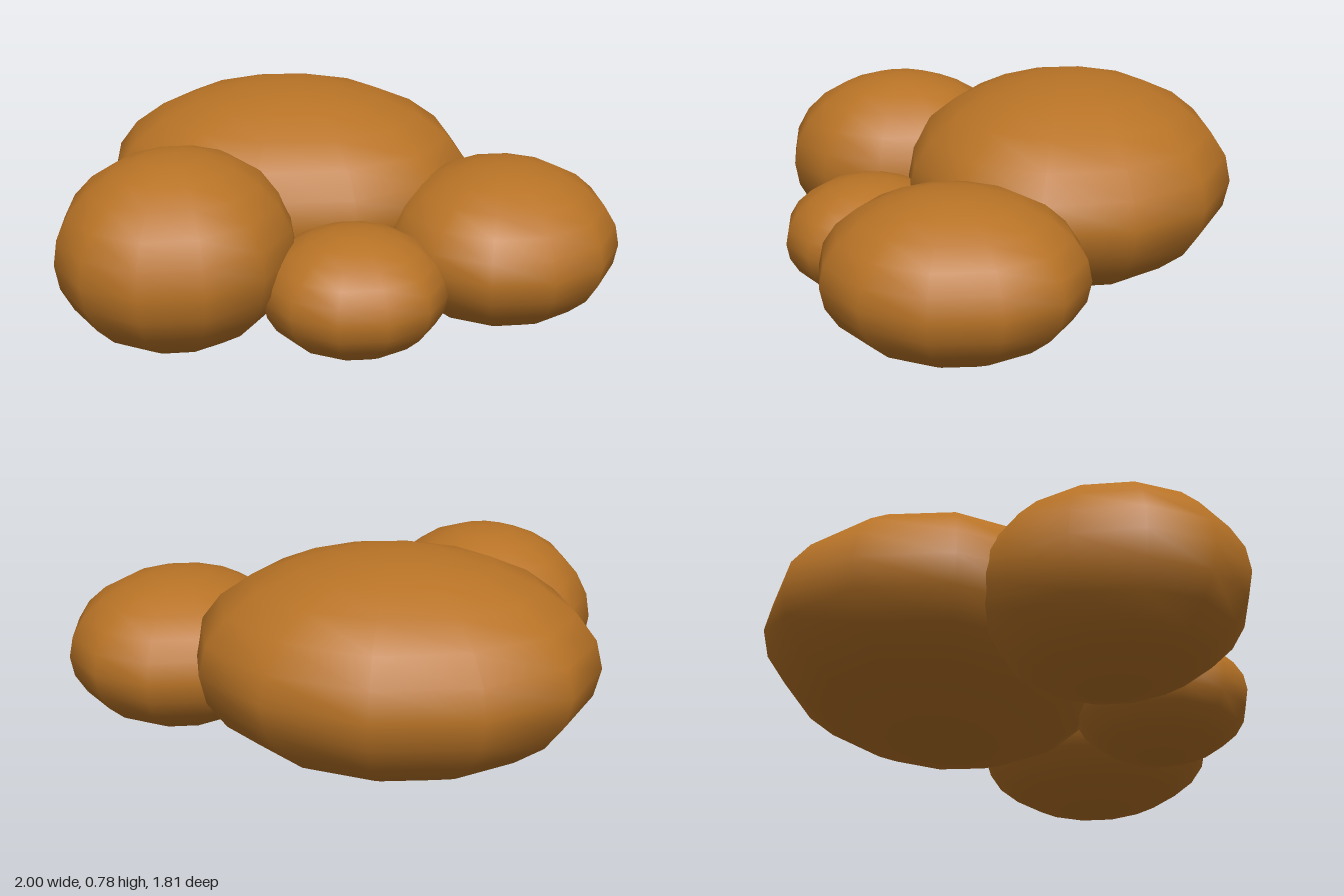
import * as THREE from 'three';

export function createModel() {
  const group = new THREE.Group();
  group.name = 'lumpCluster';

  const brown = new THREE.MeshStandardMaterial({ color: 0xb87326 });
  brown.name = 'warm brown';

  // One low-poly sphere, squashed into each lump
  const sphere = new THREE.SphereGeometry(1, 12, 12);

  // name, centre, radii
  const lumps = [
    ['largeBackLump', [-0.28, 0.395, -0.28], [0.72, 0.39, 0.63]],
    ['frontRightLump', [-0.535, 0.355, 0.43], [0.425, 0.348, 0.47]],
    ['leftLump', [0.57, 0.298, 0], [0.43, 0.292, 0.47]],
    ['smallFrontLump', [0.09, 0.23, 0.41], [0.33, 0.225, 0.327]],
  ];

  for (const [name, centre, radii] of lumps) {
    const lump = new THREE.Mesh(sphere, brown);
    lump.name = name;
    lump.position.set(...centre);
    lump.scale.set(...radii);
    group.add(lump);
  }
  return group;
}
